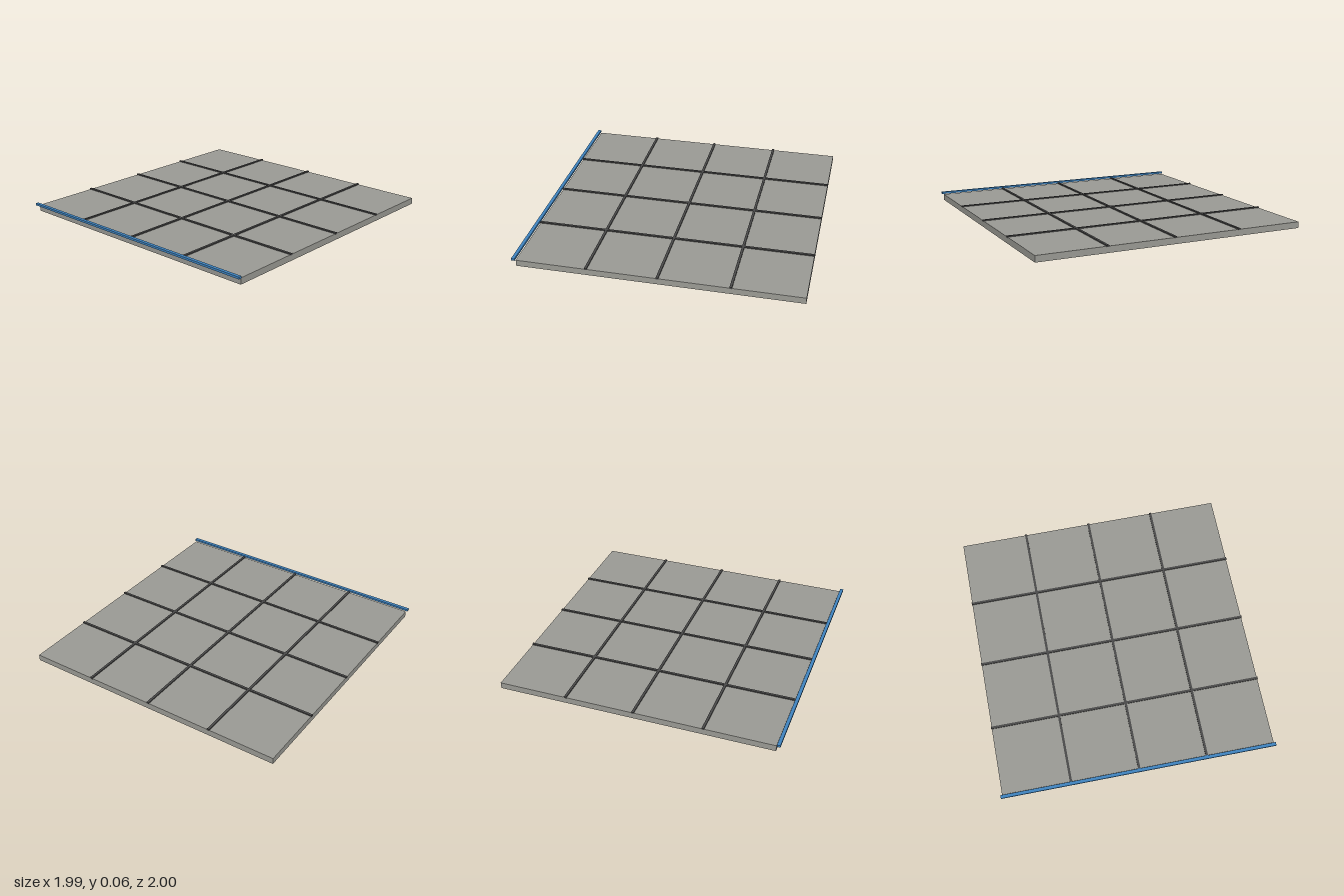
import * as THREE from 'three';

export function createModel() {
  const model = new THREE.Group();
  const material = (color) => new THREE.MeshStandardMaterial({ color });
  const concrete = material(0x9b9b95);
  const dark = material(0x4a4a4a);
  const blue = material(0x3f84c0);

  const addBox = (name, size, position, mat) => {
    const mesh = new THREE.Mesh(new THREE.BoxGeometry(...size), mat);
    mesh.name = name;
    mesh.position.set(...position);
    model.add(mesh);
  };

  // The slab sits slightly back to leave room for the front edge strip
  const centreZ = -0.0125;
  const side = 1.968;
  addBox('slab', [side, 0.045, side], [0, 0.0225, centreZ], concrete);

  // Raised joint strips dividing the slab into a four by four grid
  const length = 1.975, width = 0.017, height = 0.012, y = 0.047;
  for (let i = -1; i <= 1; i++) {
    const offset = i * side / 4;
    addBox('lengthwiseJoint', [width, height, length], [offset, y, centreZ], dark);
    addBox('crosswiseJoint', [length, height - 0.0004, width], [0, y, centreZ + offset], dark);
  }

  // Blue strip along the front edge
  addBox('frontEdgeStrip', [1.99, 0.015, 0.024], [0, 0.0545, 0.988], blue);

  return model;
}
